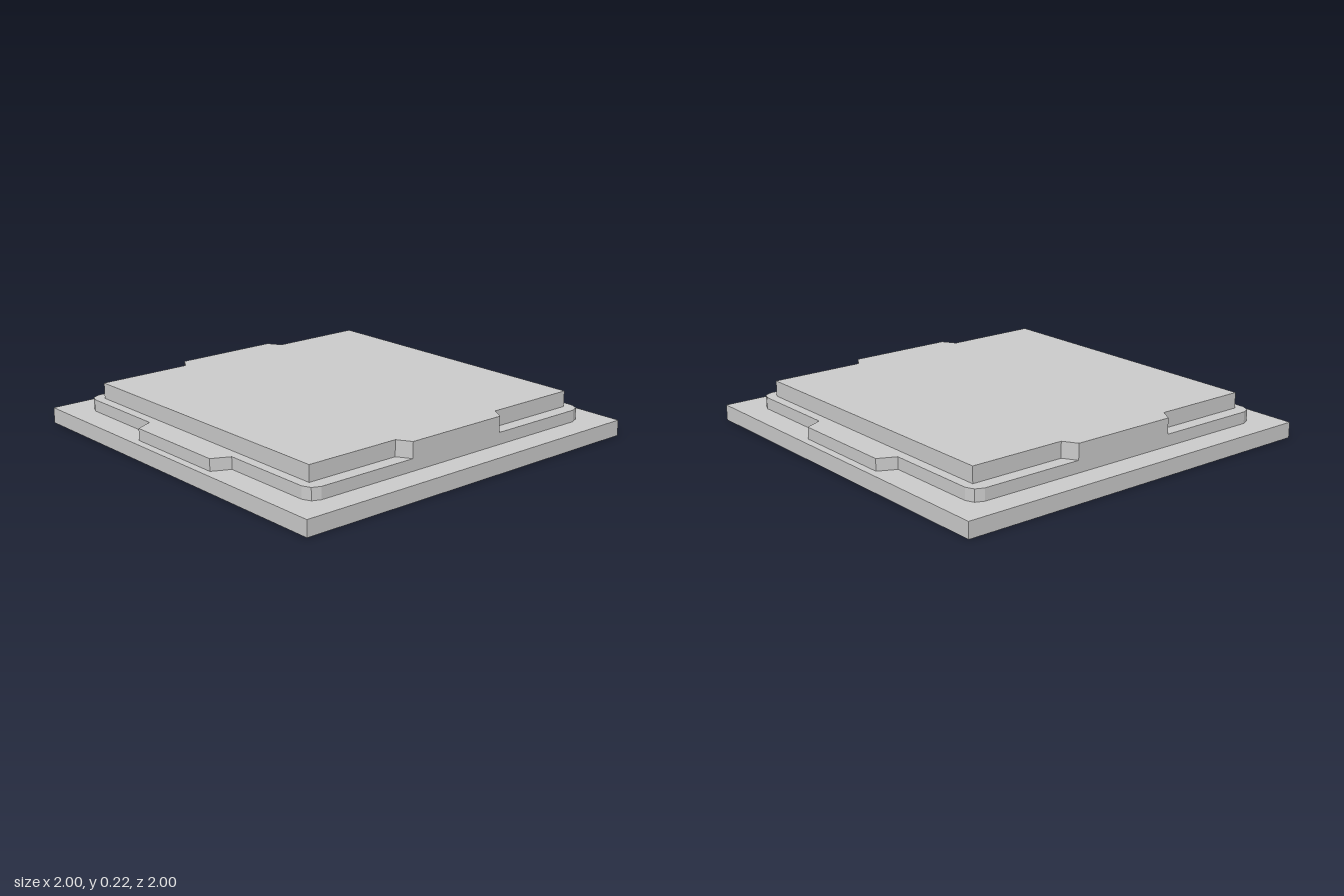
import * as THREE from 'three';

const material = new THREE.MeshStandardMaterial({ color: 0xcccccc, flatShading: true });

// Closed plate outline from the points of one quadrant, mirrored into the other three
function mirroredOutline(quadrant) {
  const flip = (sx, sz) => quadrant.map(([x, z]) => new THREE.Vector2(x * sx, z * sz));
  return new THREE.Shape([
    ...flip(1, 1),
    ...flip(-1, 1).reverse(),
    ...flip(-1, -1),
    ...flip(1, -1).reverse(),
  ]);
}

// Flat plate standing on height y
function plate(name, quadrant, y, height) {
  const geometry = new THREE.ExtrudeGeometry(mirroredOutline(quadrant), { depth: height, bevelEnabled: false });
  geometry.rotateX(-Math.PI / 2);
  const mesh = new THREE.Mesh(geometry, material);
  mesh.name = name;
  mesh.position.y = y;
  return mesh;
}

export function createModel() {
  const group = new THREE.Group();
  group.name = 'steppedPlate';

  // Square base slab
  const base = new THREE.Mesh(new THREE.BoxGeometry(2, 0.08, 2), material);
  base.name = 'baseSlab';
  base.position.y = 0.04;
  group.add(base);

  // Middle plate: two-facet corners, tapered tabs at front and back
  group.add(plate('middlePlate', [
    [0.87, 0.81], [0.852, 0.852], [0.81, 0.87],
    [0.325, 0.87], [0.282, 0.96],
  ], 0.08, 0.06));

  // Top plate: square corners, tapered tabs at left and right
  group.add(plate('topPlate', [
    [0.87, 0.28], [0.8, 0.322], [0.8, 0.82],
  ], 0.14, 0.08));

  return group;
}
